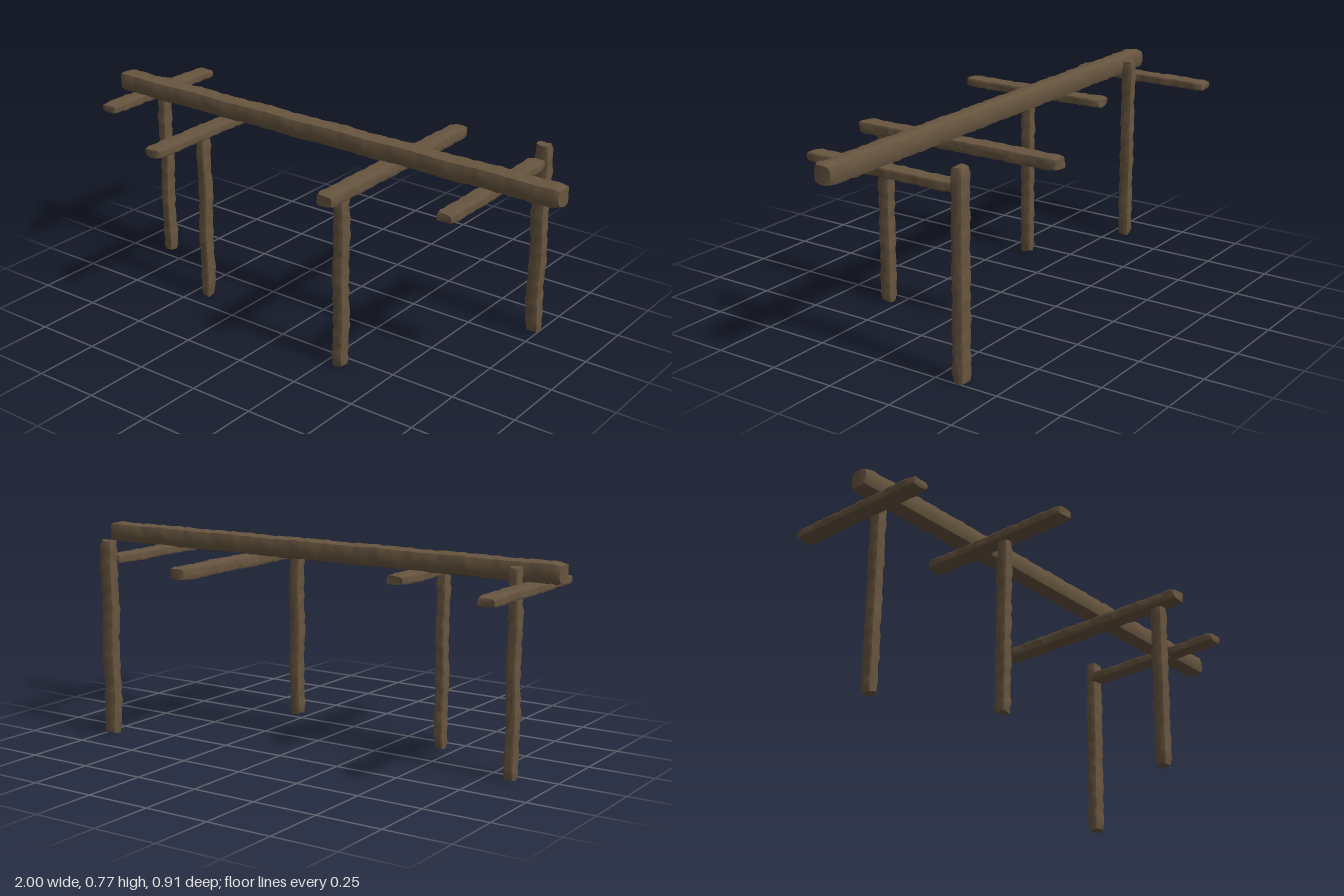
import * as THREE from 'three';
import { mergeVertices, toCreasedNormals } from 'three/addons/utils/BufferGeometryUtils.js';

const SIDES = 16;

// Rough-hewn timber along y: rounded-square section, wavy sides, worn ends
function timberGeometry(width, depth, length, seed, rough, power = 4.5) {
  const steps = Math.max(20, Math.round(length / 0.022));
  const geometry = new THREE.CylinderGeometry(1, 1, 2, SIDES, steps);
  geometry.deleteAttribute('uv');
  geometry.deleteAttribute('normal');
  const pos = geometry.attributes.position;
  const half = length / 2;
  for (let i = 0; i < pos.count; i++) {
    const x = pos.getX(i), z = pos.getZ(i), t = pos.getY(i);
    const r = Math.hypot(x, z);
    const a = Math.atan2(x, z);
    const c = r > 0.5 ? z / r : 0, s = r > 0.5 ? x / r : 0;
    const square = r > 0.5 ? (Math.abs(c) ** power + Math.abs(s) ** power) ** (-1 / power) : 0;

    // end rings are drawn in to round off the cut
    const atEnd = Math.abs(t) > 0.9999;
    let y = t * half;
    const worn = atEnd ? 0.86 : 1;
    if (atEnd) y -= Math.sign(t) * 0.003 * (1 + Math.sin(2 * a + seed)) * (r > 0.5 ? 1 : 0);
    else if (Math.abs(t) > 1 - 2.5 / steps) y = Math.sign(t) * (half - 0.008 - (Math.abs(t) < 1 - 1.5 / steps ? 0.018 : 0));

    // carved dents run along the timber and shift from face to face
    const dent = rough * (0.5 * Math.sin(y * 88 + 2 * Math.sin(a + seed) + seed * 3)
      + 0.35 * Math.sin(y * 143 + 3 * a + seed * 5)
      + 0.3 * Math.sin(y * 37 - 2 * a + seed * 7));
    const bow = rough * 0.5 * Math.sin(y * 19 + seed * 2);
    pos.setXYZ(i,
      s * square * worn * (width / 2 + dent) + bow,
      y,
      c * square * worn * (depth / 2 + dent) - bow);
  }
  return toCreasedNormals(mergeVertices(geometry, 1e-5), 0.8);
}

export function createModel() {
  const model = new THREE.Group();
  const wood = new THREE.MeshStandardMaterial({ color: 0x67553f });
  const add = (name, geometry, x, y, z) => {
    const mesh = new THREE.Mesh(geometry, wood);
    mesh.name = name;
    mesh.position.set(x, y, z);
    model.add(mesh);
    return mesh;
  };

  // Long ridge beam
  add('ridgeBeam', timberGeometry(0.076, 0.078, 2, 1.3, 0.0022), 0, 0.731, 0.002).rotation.z = Math.PI / 2;

  // Crosspieces under the beam: x, back z, front z, bottom, top, width
  const crosspieces = [
    [-0.9, -0.38, 0.205, 0.664, 0.698, 0.072],
    [-0.44, -0.18, 0.453, 0.664, 0.699, 0.073],
    [0.305, -0.457, 0.403, 0.65, 0.696, 0.071],
    [0.715, -0.33, 0.292, 0.662, 0.698, 0.066],
  ];
  crosspieces.forEach(([x, back, front, bottom, top, width], i) => {
    const g = timberGeometry(width, top - bottom, front - back, 2.1 + i * 1.7, 0.002, 6);
    add('crosspiece' + (i + 1), g, x, (bottom + top) / 2, (back + front) / 2).rotation.x = Math.PI / 2;
  });

  // Upright posts: x, z, top, width, depth
  const posts = [
    [-0.845, -0.055, 0.752, 0.041, 0.049],
    [-0.438, 0.17, 0.67, 0.04, 0.048],
    [0.307, 0.302, 0.67, 0.047, 0.051],
    [0.726, -0.343, 0.754, 0.057, 0.048],
  ];
  posts.forEach(([x, z, top, width, depth], i) => {
    add('post' + (i + 1), timberGeometry(width, depth, top, 0.7 + i * 2.3, 0.003), x, top / 2, z);
  });

  return model;
}
